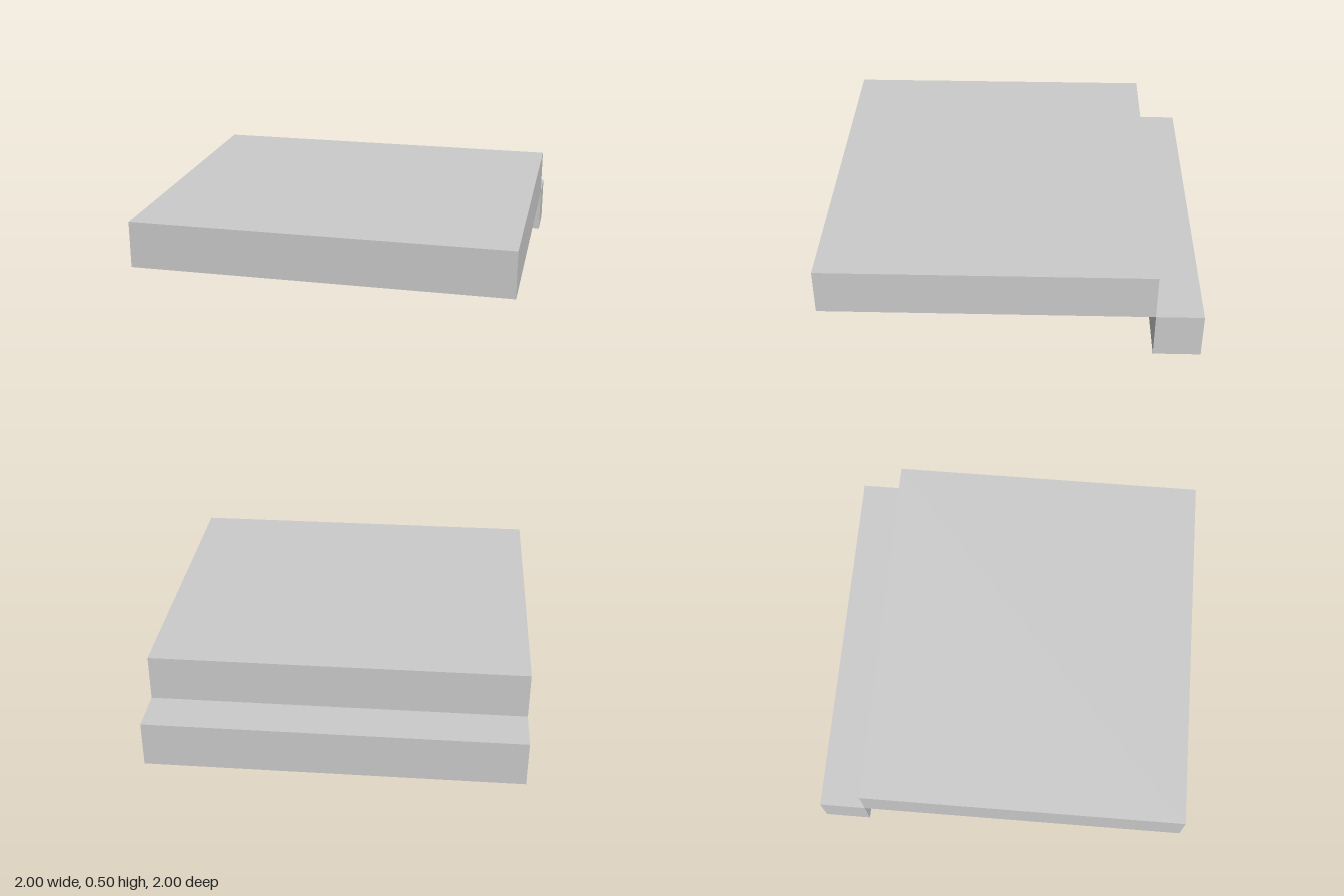
import * as THREE from 'three';

export function createModel() {
  const group = new THREE.Group();
  const material = new THREE.MeshStandardMaterial({ color: 0xcccccc, flatShading: true });

  // Full-width block spanning the given heights and depths
  const addBlock = (name, y0, y1, z0, z1) => {
    const mesh = new THREE.Mesh(new THREE.BoxGeometry(2, y1 - y0, z1 - z0), material);
    mesh.position.set(0, (y0 + y1) / 2, (z0 + z1) / 2);
    mesh.name = name;
    group.add(mesh);
  };

  // Raised slab, and the lower step meeting its back bottom edge
  addBlock('upperSlab', 0.25, 0.5, -0.75, 1);
  addBlock('rearStep', 0, 0.25, -1, -0.75);

  return group;
}
